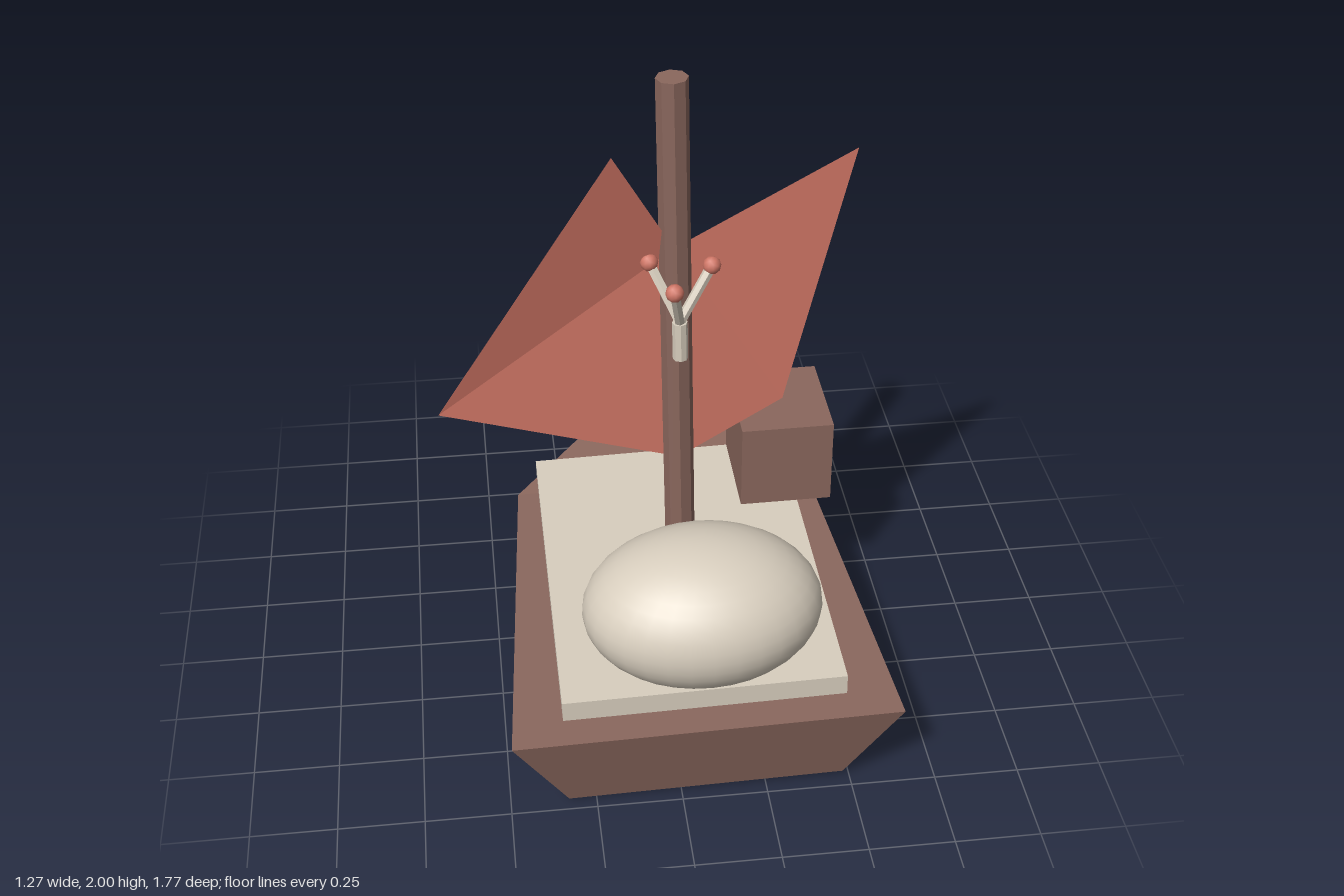
import * as THREE from 'three';

const mat = (name, color, side = THREE.FrontSide) => {
  const m = new THREE.MeshStandardMaterial({ color, side });
  m.name = name;
  return m;
};
const V = (x, y, z) => new THREE.Vector3(x, y, z);
const ROLL = 0.022; // the whole boat heels slightly

// Faceted geometry from a list of triangles of points
function facets(tris) {
  const g = new THREE.BufferGeometry().setFromPoints(tris.flat());
  g.computeVertexNormals();
  return g;
}

// Straight faceted rod between two points
function rod(a, b, radius, sides) {
  const dir = b.clone().sub(a);
  const g = new THREE.CylinderGeometry(radius, radius, dir.length(), sides).toNonIndexed();
  g.computeVertexNormals();
  g.applyQuaternion(new THREE.Quaternion().setFromUnitVectors(V(0, 1, 0), dir.normalize()));
  const c = a.clone().add(b).multiplyScalar(0.5);
  return g.translate(c.x, c.y, c.z);
}

// Hull: five-cornered prism flaring from keel to deck
function hullGeometry() {
  const heel = (x, y, z) => V(x, y + ROLL * (x - 0.07), z);
  const b = [heel(-0.33, 0.009, 0.71), heel(0.48, 0.009, 0.71), heel(0.425, 0.009, -0.27),
    heel(0.08, 0.06, -0.725), heel(-0.28, 0.009, -0.26)];
  const t = [heel(-0.49, 0.298, 0.78), heel(0.632, 0.298, 0.78), heel(0.547, 0.31, -0.38),
    heel(0.07, 0.376, -0.885), heel(-0.407, 0.315, -0.353)];
  const tris = [];
  for (let i = 0; i < 5; i++) {
    const j = (i + 1) % 5;
    tris.push([b[i], b[j], t[j]], [b[i], t[j], t[i]]);
  }
  for (const [i, j, k] of [[0, 1, 2], [0, 2, 4], [2, 3, 4]]) {
    tris.push([t[i], t[j], t[k]], [b[k], b[j], b[i]]);
  }
  return facets(tris);
}

export function createModel() {
  const model = new THREE.Group();
  model.name = 'sailingBoat';
  const wood = mat('wood brown', 0x8a675d);
  const cream = mat('cream', 0xd8cebe);
  const red = mat('soft red', 0xd07666);
  const sailRed = red;
  sailRed.side = THREE.DoubleSide;

  const add = (name, geo, material, parent = model) => {
    const m = new THREE.Mesh(geo, material);
    m.name = name;
    parent.add(m);
    return m;
  };

  add('hull', hullGeometry(), wood);

  const deck = add('deck', new THREE.BoxGeometry(0.82, 0.066, 1.145), cream);
  deck.position.set(0.07, 0.337, 0.117);
  deck.rotation.z = ROLL;

  add('mast', rod(V(0.073, 0.32, 0.1), V(0.036, 1.999, 0.1), 0.045, 8), wood);

  // Two thin sails meeting at the mast
  const top = V(0.045, 1.48, 0.1), foot = V(0.065, 0.76, 0.1);
  const sail = (name, peak, corner) =>
    add(name, facets([[top, peak, corner], [top, corner, foot]]), sailRed);
  sail('rightSail', V(-0.135, 1.82, 0.192), V(-0.637, 0.95, 0.075));
  sail('leftSail', V(0.565, 1.725, 0.03), V(0.37, 0.945, 0.095));

  // Smooth egg over the stern
  const egg = add('egg', new THREE.SphereGeometry(1, 32, 20), cream);
  egg.scale.set(0.336, 0.211, 0.257);
  egg.position.set(0.063, 0.646, 0.632);
  egg.rotation.z = ROLL;

  // Crate beside the mast
  const crate = add('crate', new THREE.BoxGeometry(0.285, 0.282, 0.325), wood);
  crate.position.set(0.424, 0.583, -0.213);
  crate.rotation.z = 0.01;

  // Small branching twig with a berry on each tip
  const twig = new THREE.Group();
  twig.name = 'twig';
  model.add(twig);
  const fork = V(0.052, 1.29, 0.183);
  add('twigStem', rod(V(0.055, 1.17, 0.183), fork, 0.022, 8), cream, twig);
  for (const tip of [V(0.145, 1.447, 0.147), V(0.025, 1.445, 0.278), V(-0.025, 1.443, 0.105)]) {
    add('twigBranch', rod(fork, tip, 0.015, 6), cream, twig);
    add('berry', new THREE.IcosahedronGeometry(0.026, 1), red, twig).position.copy(tip);
  }

  return model;
}
